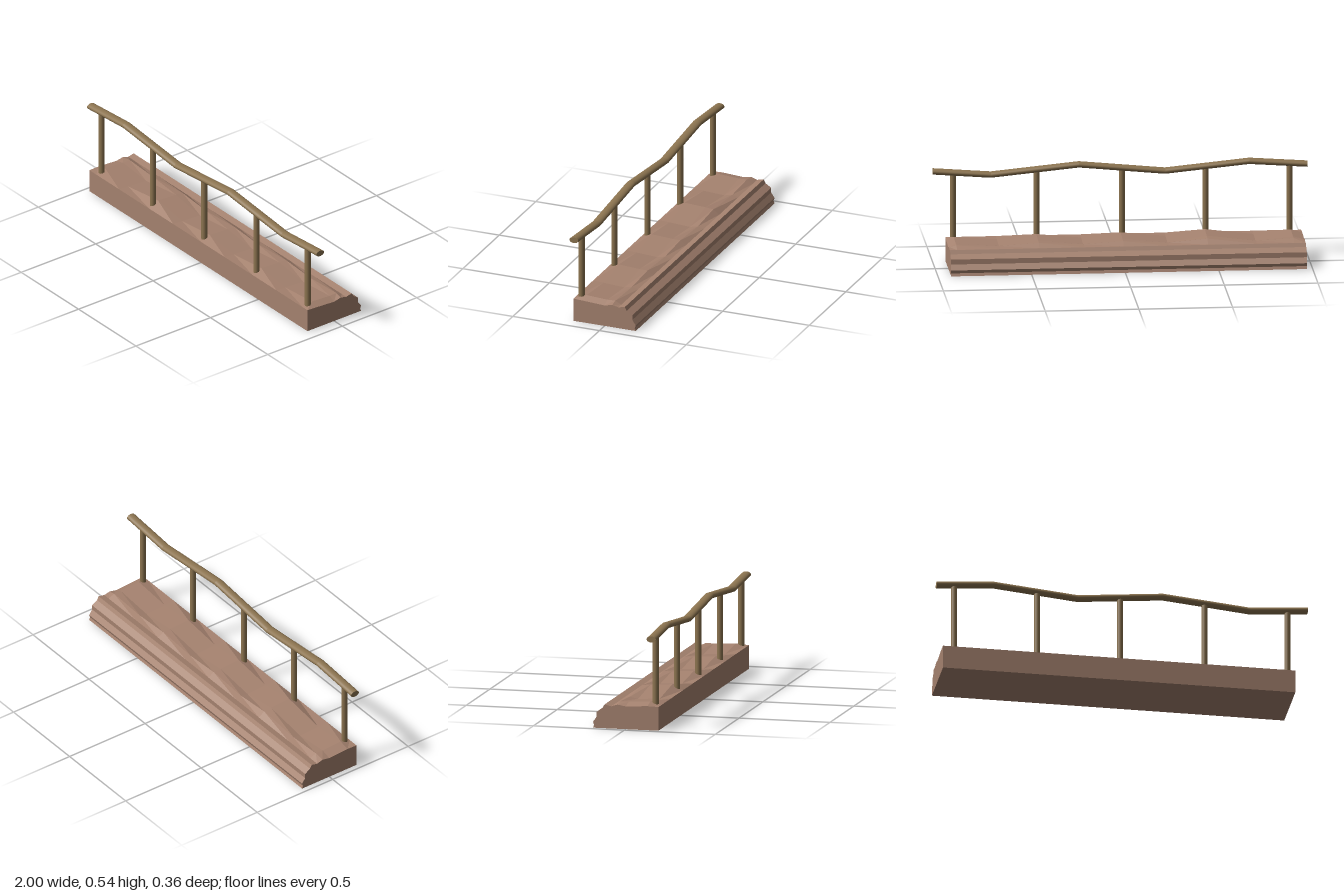
import * as THREE from 'three';

const brown = new THREE.MeshStandardMaterial({ color: 0xa5826f, flatShading: true });
const wood = new THREE.MeshStandardMaterial({ color: 0x8c7450 });

// Cross-section of the ledge as [z, y, lift]; lift is how far a bump raises the point
const profile = [
  [0.18, 0, 0], [0.18, 0.128, 0], [0.12, 0.125, 0.032], [0, 0.118, 0.032],
  [-0.045, 0.128, 0.017], [-0.08, 0.12, 0], [-0.117, 0.128, 0], [-0.128, 0.108, 0],
  [-0.16, 0.087, 0], [-0.16, 0.06, 0], [-0.18, 0.032, 0], [-0.174, 0.015, 0], [-0.18, 0, 0],
];
// Stations along the ledge as [x, bump height]
const stations = [
  [-0.97, 0.15], [-0.91, 0.62], [-0.71, 0], [-0.45, 1], [-0.24, 0], [0, 0.75],
  [0.21, 0], [0.45, 0.75], [0.66, 0], [0.89, 0.55], [0.93, 0],
];

function ledgeGeometry() {
  const n = profile.length;
  const positions = [];
  const index = [];
  for (const [x, bump] of stations) {
    for (const [z, y, lift] of profile) positions.push(x, y + lift * bump, z);
  }
  // skin between neighbouring sections, underside included
  for (let i = 0; i < stations.length - 1; i++) {
    for (let j = 0; j < n; j++) {
      const a = i * n + j, b = i * n + (j + 1) % n;
      index.push(a, a + n, b, a + n, b + n, b);
    }
  }
  // end faces
  const last = (stations.length - 1) * n;
  const outline = (bump) => profile.map(([z, y, lift]) => new THREE.Vector2(z, y + lift * bump));
  for (const [a, b, c] of THREE.ShapeUtils.triangulateShape(outline(stations[0][1]), [])) index.push(a, b, c);
  for (const [a, b, c] of THREE.ShapeUtils.triangulateShape(outline(0), [])) index.push(last + a, last + c, last + b);

  const indexed = new THREE.BufferGeometry();
  indexed.setAttribute('position', new THREE.Float32BufferAttribute(positions, 3));
  indexed.setIndex(index);
  const geometry = indexed.toNonIndexed();
  geometry.computeVertexNormals();
  return geometry;
}

// Handrail centre line as [x, y]
const railPath = [[-1, 0.497], [-0.69, 0.519], [-0.24, 0.475], [0.22, 0.519], [0.69, 0.473], [1, 0.497]];
const railZ = 0.148;

function railHeight(x) {
  const i = Math.max(1, railPath.findIndex((p) => p[0] >= x));
  const [x0, y0] = railPath[i - 1], [x1, y1] = railPath[i];
  return y0 + (y1 - y0) * (x - x0) / (x1 - x0);
}

// One straight run of oval rail, sheared so that neighbouring ends meet exactly
function railSegment([x0, y0], [x1, y1], open) {
  const geometry = new THREE.CylinderGeometry(1, 1, x1 - x0, 24, 1, open);
  geometry.rotateZ(-Math.PI / 2);
  geometry.scale(1, 0.0165, 0.0255);
  const slope = (y1 - y0) / (x1 - x0);
  geometry.applyMatrix4(new THREE.Matrix4().set(
    1, 0, 0, (x0 + x1) / 2,
    slope, 1, 0, (y0 + y1) / 2,
    0, 0, 1, railZ,
    0, 0, 0, 1));
  return new THREE.Mesh(geometry, wood);
}

export function createModel() {
  const model = new THREE.Group();
  model.name = 'walkwayWithRailing';

  const ledge = new THREE.Mesh(ledgeGeometry(), brown);
  ledge.name = 'ledge';
  model.add(ledge);

  const handrail = new THREE.Group();
  handrail.name = 'handrail';
  for (let i = 0; i < railPath.length - 1; i++) {
    const segment = railSegment(railPath[i], railPath[i + 1], i > 0 && i < railPath.length - 2);
    segment.name = 'railSegment';
    handrail.add(segment);
  }
  model.add(handrail);

  // posts run from inside the ledge up into the rail
  const posts = new THREE.Group();
  posts.name = 'posts';
  for (const x of [-0.905, -0.457, -0.01, 0.445, 0.892]) {
    const bottom = 0.1, top = railHeight(x);
    const post = new THREE.Mesh(new THREE.CylinderGeometry(0.0165, 0.0165, top - bottom, 20), wood);
    post.position.set(x, (top + bottom) / 2, railZ);
    post.name = 'post';
    posts.add(post);
  }
  model.add(posts);

  return model;
}
